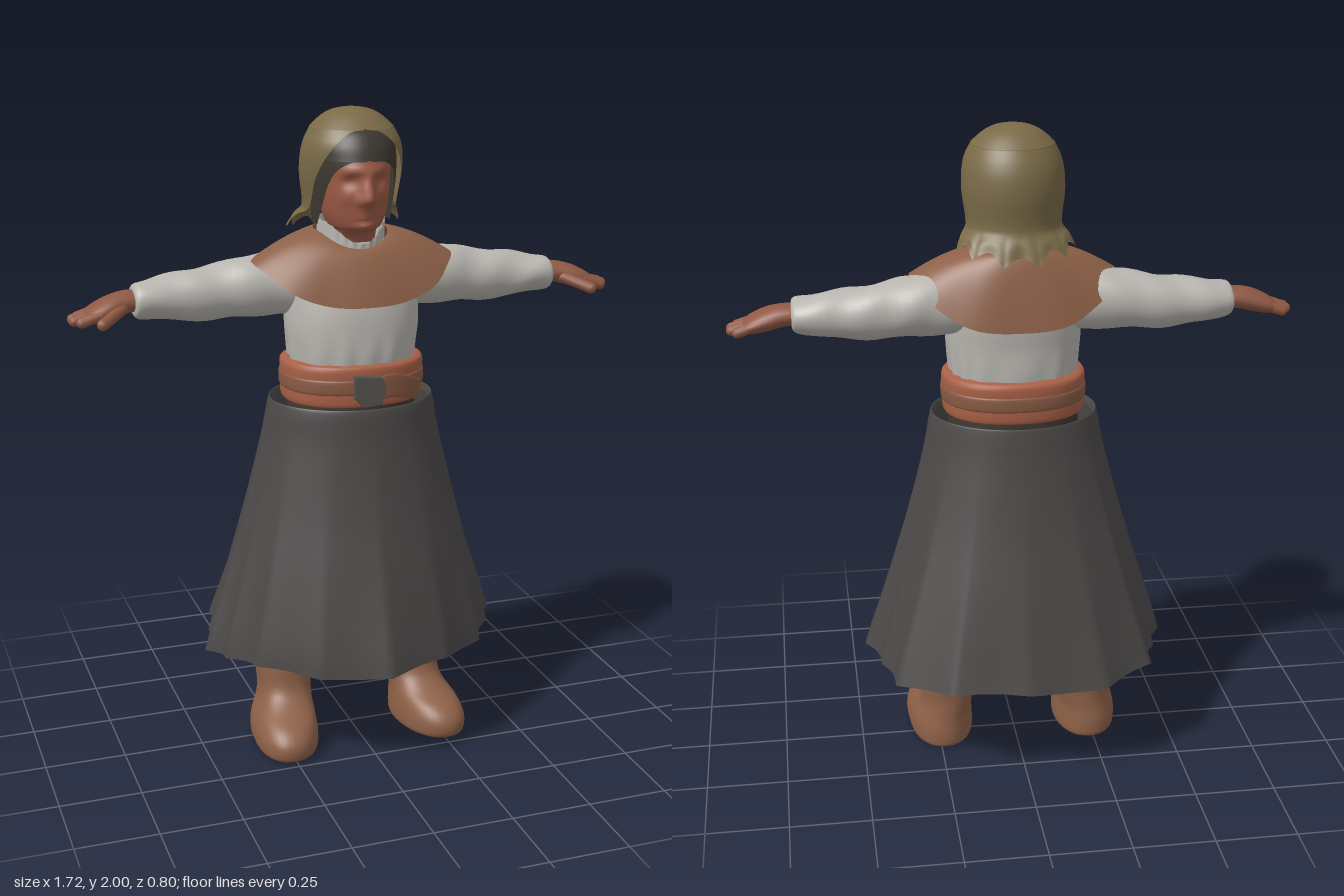
import * as THREE from 'three';

const PI = Math.PI;
const mat = (name, color) => Object.assign(new THREE.MeshStandardMaterial({ color, side: THREE.DoubleSide }), { name });
const spow = (s, p) => Math.sign(s) * Math.pow(Math.abs(s), p);
const bump = (d, w) => Math.exp(-(d * d) / (w * w));

// Grid surface: fn(u, v) gives a point; u runs round (counter-clockwise from above), v upwards
function surface(nu, nv, fn, closed = true, cap = false) {
  const pos = [], idx = [], cols = closed ? nu : nu + 1;
  for (let j = 0; j <= nv; j++) for (let i = 0; i < cols; i++) pos.push(...fn(i / nu, j / nv));
  for (let j = 0; j < nv; j++) for (let i = 0; i < nu; i++) {
    const a = j * cols + i, b = j * cols + (i + 1) % cols;
    idx.push(a, b, b + cols, a, b + cols, a + cols);
  }
  if (cap) for (const j of [0, nv]) {
    const start = pos.length / 3, c = [0, 0, 0];
    for (let i = 0; i < cols; i++) {
      const p = fn(i / nu, j / nv);
      pos.push(...p);
      p.forEach((q, k) => { c[k] += q / cols; });
    }
    pos.push(...c);
    for (let i = 0; i < cols; i++) {
      const a = start + i, b = start + (i + 1) % cols;
      idx.push(start + cols, ...(j ? [a, b] : [b, a]));
    }
  }
  const g = new THREE.BufferGeometry();
  g.setAttribute('position', new THREE.Float32BufferAttribute(pos, 3));
  g.setIndex(idx);
  g.computeVertexNormals();
  return g;
}

// Smooth interpolation between cross-section rows
function sample(rows, v) {
  const t = v * (rows.length - 1), i = Math.min(Math.floor(t), rows.length - 2), f = t - i;
  const row = k => rows[Math.max(0, Math.min(rows.length - 1, k))];
  return rows[i].map((b, k) => {
    const a = row(i - 1)[k], c = row(i + 1)[k], d = row(i + 2)[k];
    return b + 0.5 * f * (c - a + f * (2 * a - 5 * b + 4 * c - d + f * (3 * (b - c) + d - a)));
  });
}

// Loft from bottom to top; rows are [y, centre x, radius x, front z, back z, opening half-angle]
function loft(rows, { seg = 40, sub = 4, p = 1, warp, cap = false, range } = {}) {
  const open = rows[0].length > 5 || !!range;
  return surface(seg, (rows.length - 1) * sub, (u, v) => {
    const [y, cx, rx, zf, zb, gap = 0] = sample(rows, v);
    const a0 = Math.max(0, gap);
    const a = range ? range[0] + (range[1] - range[0]) * u : a0 + (2 * PI - 2 * a0) * u;
    const q = [cx + rx * spow(Math.sin(a), p), y, (zf + zb) / 2 + (zf - zb) / 2 * spow(Math.cos(a), p)];
    return warp ? warp(q, a, v) : q;
  }, !open, cap);
}

// Loft along +x; rows are [x, bottom y, top y, front z, back z]
const armLoft = (rows, opt) =>
  loft(rows.map(([x, yb, yt, zf, zb]) => [x, -(yb + yt) / 2, (yt - yb) / 2, zf, zb]), opt).rotateZ(-PI / 2);

function capsule(a, b, r) {
  const A = new THREE.Vector3(...a), B = new THREE.Vector3(...b), d = B.clone().sub(A);
  const m = new THREE.Matrix4().makeRotationFromQuaternion(
    new THREE.Quaternion().setFromUnitVectors(new THREE.Vector3(0, 1, 0), d.clone().normalize()));
  return new THREE.CapsuleGeometry(r, d.length(), 6, 12).applyMatrix4(m.setPosition(A.add(B).multiplyScalar(0.5)));
}

function mirror(geo) {
  const g = geo.clone().scale(-1, 1, 1), ix = g.index;
  for (let i = 0; i < ix.count; i += 3) {
    const t = ix.getX(i);
    ix.setX(i, ix.getX(i + 1));
    ix.setX(i + 1, t);
  }
  return g;
}

// Skirt hem: fold ridges as [degrees from the front, relative radius], same on both sides
const RIDGES = [[0, 1], [28, .92], [56, .92], [76, .94], [90, 1], [110, .965], [128, 1.06], [152, 1.06], [180, 1]];
function hem(a) {
  const d = Math.min(180, Math.abs(((a * 180 / PI + 180) % 360) - 180));
  const i = Math.max(1, RIDGES.findIndex(r => d <= r[0] + 1e-6));
  const [d0, r0] = RIDGES[i - 1], [d1, r1] = RIDGES[i], f = (d - d0) / (d1 - d0);
  return r0 + (r1 - r0) * f - .045 * Math.sin(PI * f);
}

export function createModel() {
  const model = new THREE.Group();
  model.name = 'villageWoman';
  const skin = mat('faceSkin', 0x9c5a46), handSkin = mat('handSkin', 0x8f5843), hoodCloth = mat('hoodCloth', 0x7a6a47),
    dark = mat('darkWool', 0x3d3831), linen = mat('linen', 0xb9b6b0), hide = mat('brownHide', 0x8e6148),
    sash = mat('sashCloth', 0xa86046), leather = mat('strapLeather', 0x875a43), iron = mat('iron', 0x56524f),
    skirtCloth = mat('skirtCloth', 0x4c4848);
  const add = (name, geo, m) => {
    const mesh = new THREE.Mesh(geo, m);
    mesh.name = name;
    model.add(mesh);
    return mesh;
  };
  const pair = (name, geo, m) => {
    add('left' + name, geo, m);
    add('right' + name, mirror(geo), m);
  };

  // Head and neck, with brow, nose, lips and chin shaped by bumps
  add('head', loft([
    [1.56, 0, .07, .07, -.07], [1.62, 0, .072, .09, -.07], [1.645, 0, .07, .12, -.075], [1.66, 0, .08, .142, -.08],
    [1.70, 0, .095, .152, -.09], [1.76, 0, .105, .158, -.11], [1.82, 0, .108, .163, -.12], [1.88, 0, .106, .15, -.12],
    [1.94, 0, .08, .11, -.09], [1.965, 0, .03, .05, -.04]], {
    seg: 72, sub: 6, warp: ([x, y, z]) => {
      if (z > 0) {
        const ax = Math.abs(x);
        z += .042 * bump(x, .02) * bump(y - 1.745, y > 1.745 ? .055 : .02)
          + .012 * bump(ax - .024, .012) * bump(y - 1.742, .014)
          - .014 * bump(ax - .045, .024) * bump(y - 1.797, .018)
          + .01 * bump(ax - .04, .04) * bump(y - 1.828, .014)
          + .008 * bump(ax - .06, .025) * bump(y - 1.75, .025)
          + .01 * bump(x, .03) * (bump(y - 1.712, .008) + bump(y - 1.693, .008))
          + .014 * bump(x, .03) * bump(y - 1.665, .013);
      }
      return [x, y, z];
    }
  }), skin);

  // Dark under-cap framing the face in a round arch
  add('underCap', loft([
    [1.66, 0, .118, .11, -.1, 1.3], [1.72, 0, .122, .14, -.11, 1.12], [1.78, 0, .125, .166, -.12, .98],
    [1.82, 0, .125, .176, -.12, .82], [1.842, 0, .125, .178, -.12, .62], [1.855, 0, .125, .177, -.12, .38],
    [1.86, 0, .125, .176, -.12, 0], [1.90, 0, .12, .162, -.11, 0], [1.94, 0, .092, .13, -.09, 0],
    [1.965, 0, .04, .06, -.04, 0]], { seg: 64, sub: 5 }), dark);

  // Hood with a round brow, drawn in at the nape above a flared, pointed hem
  add('hood', loft([
    [1.605, 0, .174, .08, -.174, 1.75], [1.655, 0, .162, .09, -.16, 1.45], [1.71, 0, .143, .12, -.139, 1.27],
    [1.80, 0, .153, .152, -.149, 1.05], [1.86, 0, .152, .168, -.147, .86], [1.90, 0, .144, .167, -.136, .68],
    [1.925, 0, .133, .153, -.124, .5], [1.94, 0, .125, .142, -.115, .3], [1.946, 0, .121, .136, -.111, 0],
    [1.975, 0, .088, .1, -.078, 0], [1.992, 0, .052, .065, -.042, 0], [2.0, 0, 0, .012, .01, 0]], {
    seg: 80, warp: ([x, y, z], a, v) => {
      const w = Math.max(0, 1 - v * 5.5), k = 1 + .05 * w * Math.cos(11 * a);
      return [x * k, y + w * (.032 * Math.abs(Math.sin(5.5 * a)) + .03 * Math.abs(Math.sin(a))), z * k];
    }
  }), hoodCloth);

  // Blouse body, gathered above the sash
  add('blouse', loft([
    [1.2, 0, .19, .165, -.145], [1.27, 0, .197, .176, -.15], [1.35, 0, .206, .174, -.15], [1.42, 0, .206, .165, -.155],
    [1.5, 0, .2, .142, -.15], [1.56, 0, .17, .12, -.13], [1.61, 0, .105, .1, -.1]], {
    seg: 84, p: .9, warp: ([x, y, z], a) => {
      const k = 1 + .02 * Math.cos(14 * a + 2 * Math.sin(3 * a)) * bump(y - 1.26, .06);
      return [x * k, y, z * k];
    }
  }), linen);

  // Ruffled collar dipping in a V at the front
  add('collar', surface(96, 4, (u, v) => {
    const a = u * 2 * PI, r = 1 + .03 * Math.cos(24 * a) * v;
    return [.1 * r * Math.sin(a), 1.59 + v * (.082 - .066 * Math.max(0, Math.cos(a)) ** 3), .006 + .108 * r * Math.cos(a)];
  }), linen);

  // Shoulder cape, deepest at front and back
  add('cape', surface(72, 12, (u, v) => {
    const a = u * 2 * PI, s = 1 - v, sn = Math.sin(a), c = Math.cos(a);
    const zOut = c > 0 ? .188 : .18, zIn = c > 0 ? .112 : .118;
    const yIn = 1.638 - .045 * Math.max(0, c) ** 2, yOut = (c > 0 ? 1.43 : 1.415) + (c > 0 ? .125 : .14) * Math.abs(sn) ** 2.4;
    const wave = 1 + .012 * s * Math.cos(9 * a);
    return [spow(sn, .85) * (.108 + .204 * s) * wave, yIn + (yOut - yIn) * s ** 1.6, spow(c, .85) * (zIn + (zOut - zIn) * s) * wave];
  }), hide);

  // Sleeves, gently crumpled
  pair('Sleeve', armLoft([
    [.12, 1.385, 1.56, .06, -.115], [.22, 1.38, 1.573, .064, -.125], [.32, 1.383, 1.562, .052, -.128],
    [.42, 1.378, 1.543, .043, -.123], [.52, 1.383, 1.53, .042, -.115], [.6, 1.397, 1.517, .044, -.106],
    [.655, 1.403, 1.507, .045, -.098], [.667, 1.42, 1.49, .03, -.08]], {
    cap: true, warp: ([x, y, z], a) => [x + .003 * Math.sin(38 * y + 2 * a), y, z + .003 * Math.sin(45 * y + a)]
  }), linen);

  // Hands: palm, four close fingers and a thumb
  pair('Palm', armLoft([
    [.63, 1.428, 1.488, .025, -.066], [.69, 1.421, 1.489, .032, -.068], [.74, 1.408, 1.478, .047, -.07],
    [.785, 1.401, 1.457, .05, -.067], [.81, 1.405, 1.439, .042, -.058]], { seg: 24, cap: true }), handSkin);
  [[.036, .827], [.008, .844], [-.021, .844], [-.047, .826]].forEach(([z, x], i) =>
    pair('Finger' + (i + 1), capsule([.77, 1.432, z], [x, 1.414, z * 1.05], .016), handSkin));
  pair('Thumb', capsule([.705, 1.443, .025], [.774, 1.414, .082], .0175), handSkin);

  // Sash, strap round it, strap tail and buckle
  add('sash', loft([[1.125, 0, .2, .175, -.155], [1.132, 0, .217, .188, -.17], [1.18, 0, .219, .19, -.172],
    [1.19, 0, .216, .187, -.169], [1.2, 0, .219, .19, -.172], [1.243, 0, .219, .19, -.172], [1.254, 0, .198, .176, -.152]],
    { seg: 56, p: .9, cap: true }), sash);
  const band = (y0, y1, o) => [[y0, 0, .212 + o, .183 + o, -.165 - o], [y0 + .006, 0, .219 + o, .19 + o, -.172 - o],
    [y1 - .006, 0, .219 + o, .19 + o, -.172 - o], [y1, 0, .212 + o, .183 + o, -.165 - o]];
  add('strap', loft(band(1.165, 1.212, .004), { seg: 56, p: .9 }), leather);
  add('strapTail', loft(band(1.14, 1.212, .01), {
    seg: 24, p: .9, range: [.12, .85],
    warp: ([x, y, z], a) => [x, 1.178 + (y - 1.178) * (1 - .35 * bump(a - .85, .12)) + .012 * Math.sin(a * 6), z]
  }), leather);
  const plate = new THREE.Shape([[-.05, -.02], [-.02, -.05], [.03, -.046], [.045, .01], [.03, .036], [-.05, .044]]
    .map(q => new THREE.Vector2(...q)));
  add('buckle', new THREE.ExtrudeGeometry(plate, { depth: .01, bevelSize: .003, bevelThickness: .003, bevelSegments: 2 }), iron)
    .position.set(-.002, 1.182, .194);

  // Pleated skirt, open above and below, with a rolled waist edge
  add('skirt', loft([
    [.33, 0, .482, .402, -.402], [.4, 0, .462, .385, -.382], [.6, 0, .397, .326, -.328], [.8, 0, .336, .27, -.274],
    [1.0, 0, .282, .23, -.232], [1.1, 0, .262, .22, -.216], [1.126, 0, .254, .213, -.21], [1.105, 0, .245, .206, -.204]], {
    seg: 180, sub: 5, warp: ([x, y, z], a) => {
      const w = Math.max(0, Math.min(1, (1.08 - y) / .75)), k = 1 + (hem(a) - 1) * w ** 1.3;
      return [x * k, y + .008 * w ** 6 * Math.sin(5 * a), z * k];
    }
  }), skirtCloth);

  // Trousers
  add('trouserHips', loft([[.7, 0, .12, .08, -.1], [.8, 0, .19, .13, -.14], [.95, 0, .205, .16, -.155], [1.14, 0, .2, .165, -.15]],
    { cap: true }), dark);
  pair('TrouserLeg', loft([[.27, .212, .076, .05, -.11], [.34, .21, .082, .06, -.115], [.5, .2, .09, .07, -.115],
    [.7, .14, .1, .085, -.12], [.85, .1, .1, .09, -.12]], { seg: 28, cap: true }), dark);

  // Boots, toes turned slightly outwards
  pair('Boot', loft([
    [0, .237, .088, .212, -.112], [.012, .238, .101, .233, -.124], [.055, .238, .102, .235, -.125], [.095, .234, .094, .2, -.12],
    [.13, .226, .085, .125, -.118], [.17, .22, .084, .078, -.118], [.24, .219, .09, .064, -.125], [.29, .218, .096, .06, -.13],
    [.305, .218, .09, .054, -.124]], {
    cap: true, p: .9, warp: ([x, y, z]) => [x + .1 * Math.max(0, z - .04), y, z]
  }), hide);

  return model;
}
